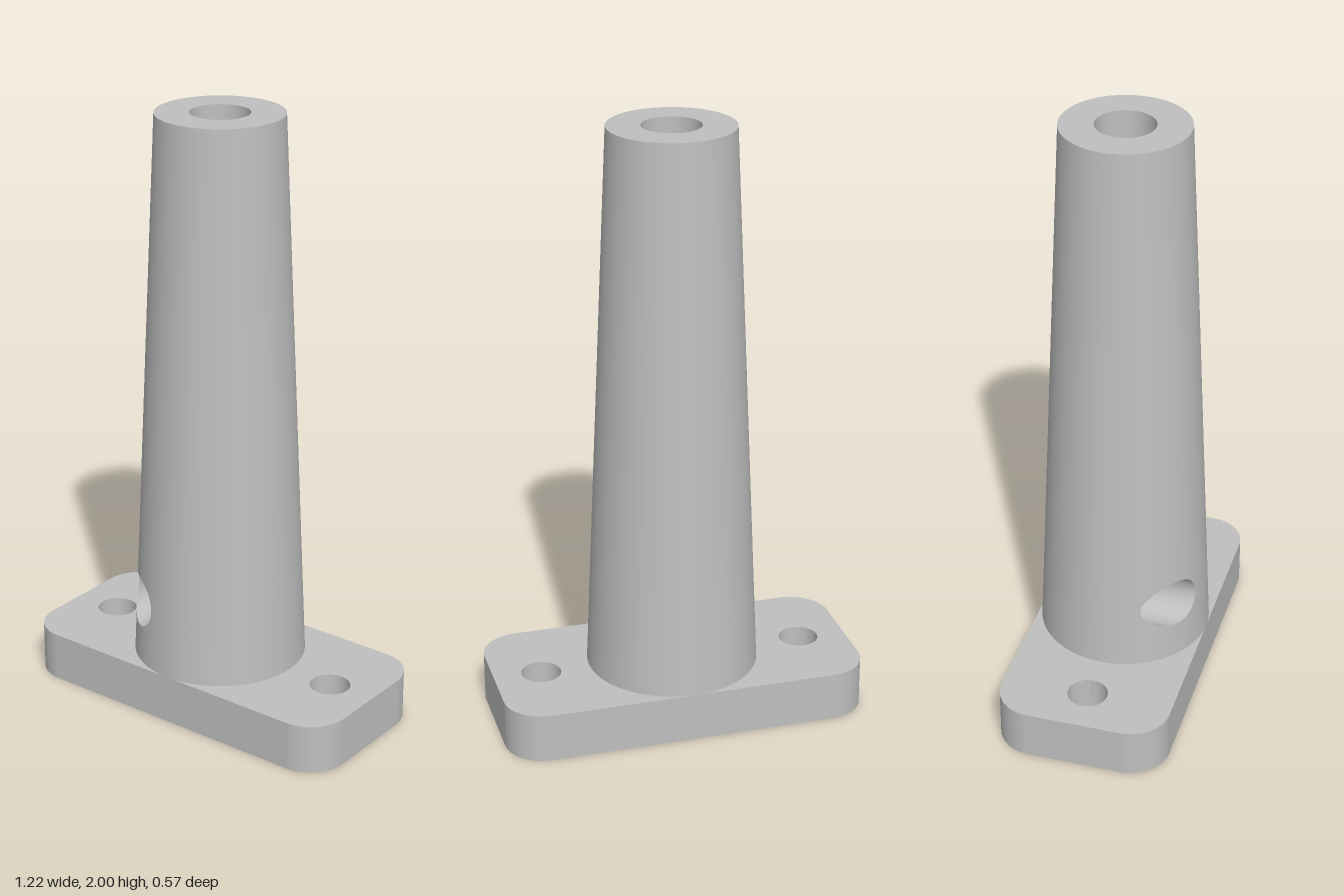
import * as THREE from 'three';
import { toCreasedNormals } from 'three/addons/utils/BufferGeometryUtils.js';

const BASE_H = 0.165, TOP = 2, R_LOW = 0.285, R_TOP = 0.204, BORE = 0.095;
const HOLE = { x: -0.165, y: 0.37, r: 0.083 }; // blind side hole, drilled along z

const coneRadius = (y) => R_LOW + (R_TOP - R_LOW) * (y - BASE_H) / (TOP - BASE_H);
const boreRadius = () => BORE;

// Ribbon of quads between two rows of points; pair(u) returns [start, end].
function ribbon(n, pair, flip = false) {
  const pos = [], index = [];
  for (let i = 0; i <= n; i++) {
    for (const p of pair(i / n)) pos.push(...p);
    if (i === n) break;
    const a = 2 * i, b = a + 1, c = a + 2, d = a + 3;
    index.push(...(flip ? [a, d, b, a, c, d] : [a, b, d, a, d, c]));
  }
  const g = new THREE.BufferGeometry();
  g.setAttribute('position', new THREE.Float32BufferAttribute(pos, 3));
  g.setIndex(index);
  g.computeVertexNormals();
  return g;
}

// Round wall with an opening where the side hole meets it, for hole angles 0..tEnd.
function piercedWall(radius, tEnd, inward) {
  const onWall = (theta, y) => [radius(y) * Math.sin(theta), y, radius(y) * Math.cos(theta)];
  const edge = (t) => {
    const y = HOLE.y + HOLE.r * Math.sin(t);
    const s = (HOLE.x + HOLE.r * Math.cos(t)) / radius(y);
    return { y, theta: Math.asin(Math.max(-1, s)) };
  };
  const above = ribbon(32, (u) => {
    const e = edge(u * tEnd);
    return [onWall(e.theta, e.y), onWall(e.theta, TOP)];
  }, inward);
  const below = ribbon(32, (u) => {
    const e = edge(-u * tEnd);
    return [onWall(e.theta, BASE_H), onWall(e.theta, e.y)];
  }, inward);
  // Unbroken remainder of the wall
  const start = edge(0).theta, end = edge(tEnd).theta;
  const profile = [BASE_H, TOP].map((y) => new THREE.Vector2(radius(y), y));
  if (inward) profile.reverse();
  const rest = new THREE.LatheGeometry(profile, 96, start, Math.PI * 2 - (start - end));
  return [above, below, rest];
}

function baseGeometry() {
  const w = 0.61, d = 0.285, r = 0.13;
  const s = new THREE.Shape();
  s.absarc(w - r, d - r, r, 0, Math.PI / 2);
  s.absarc(-w + r, d - r, r, Math.PI / 2, Math.PI);
  s.absarc(-w + r, -d + r, r, Math.PI, Math.PI * 1.5);
  s.absarc(w - r, -d + r, r, Math.PI * 1.5, Math.PI * 2);
  s.closePath();
  for (const [x, radius] of [[-0.45, 0.066], [0, BORE], [0.45, 0.066]]) {
    s.holes.push(new THREE.Path().absarc(x, 0, radius, 0, Math.PI * 2, true));
  }
  const g = new THREE.ExtrudeGeometry(s, { depth: BASE_H, bevelEnabled: false, curveSegments: 32 });
  g.rotateX(-Math.PI / 2);
  return toCreasedNormals(g, Math.PI / 6);
}

export function createModel() {
  const model = new THREE.Group();
  model.name = 'taperedPost';
  const grey = new THREE.MeshStandardMaterial({ color: 0xbfbfbf });
  grey.name = 'plain grey';
  const add = (name, ...geometries) => {
    const part = new THREE.Group();
    part.name = name;
    geometries.forEach((g) => part.add(new THREE.Mesh(g, grey)));
    part.children.forEach((m) => { m.name = name; });
    model.add(part);
  };

  add('basePlate', baseGeometry());

  // Post: outer wall, top ring and bore
  const tBore = Math.acos((-BORE - HOLE.x) / HOLE.r);
  add('postWall', ...piercedWall(coneRadius, Math.PI, false));
  add('postBore', ...piercedWall(boreRadius, tBore, true));
  const ring = new THREE.RingGeometry(BORE, R_TOP, 96);
  ring.rotateX(-Math.PI / 2).translate(0, TOP, 0);
  add('postTop', ring);

  // Side hole: tunnel wall from the bore or floor out to the post's surface
  add('sideHoleWall', ribbon(64, (u) => {
    const t = u * Math.PI * 2;
    const x = HOLE.x + HOLE.r * Math.cos(t), y = HOLE.y + HOLE.r * Math.sin(t);
    const inner = Math.sqrt(Math.max(0, BORE * BORE - x * x));
    return [[x, y, inner], [x, y, Math.sqrt(coneRadius(y) ** 2 - x * x)]];
  }));

  // Flat floor of the side hole, cut off where it breaks into the bore
  const floor = new THREE.Shape();
  floor.absarc(HOLE.x, HOLE.y, HOLE.r, tBore, Math.PI * 2 - tBore);
  floor.closePath();
  add('sideHoleFloor', new THREE.ShapeGeometry(floor, 48));

  return model;
}
